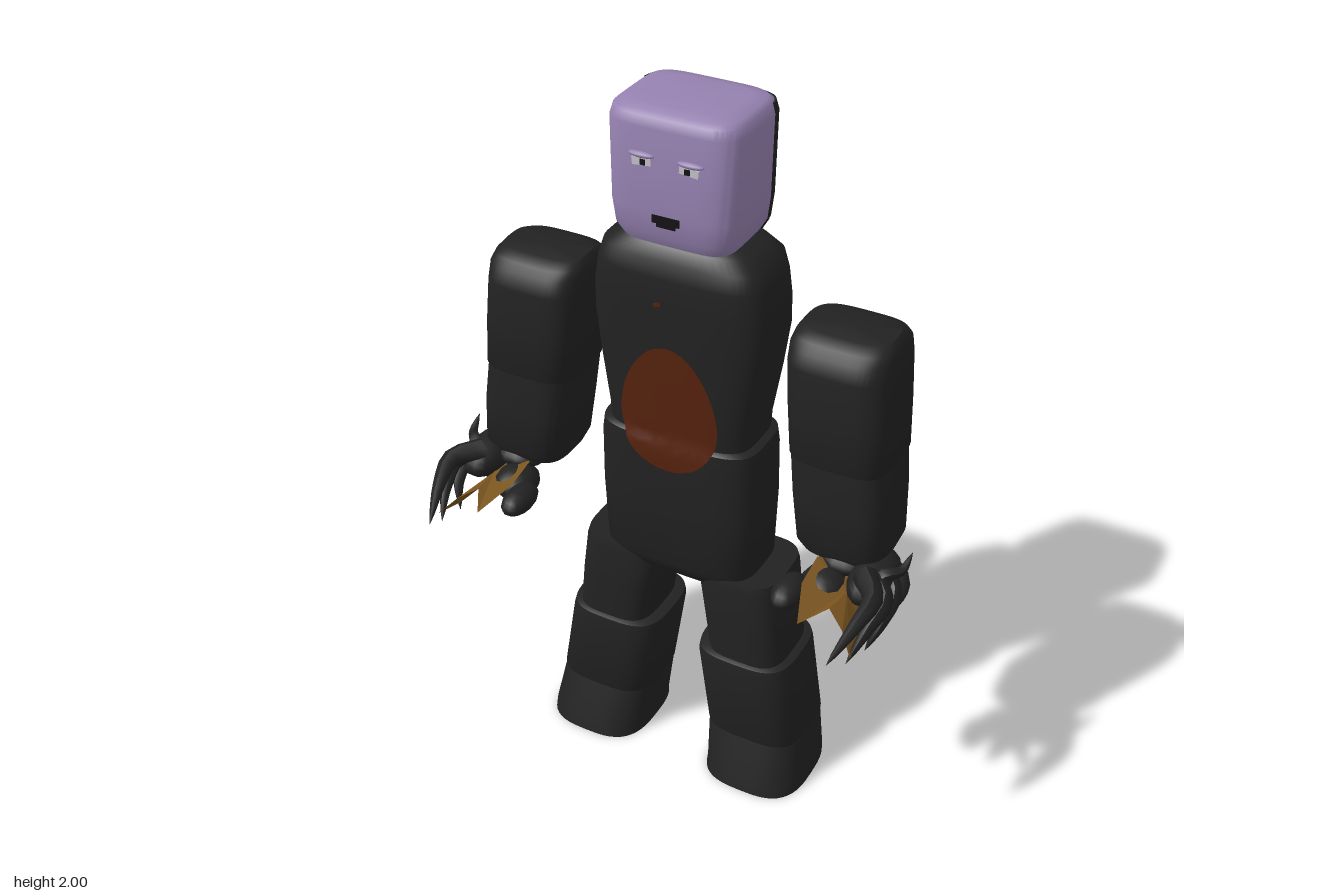
import * as THREE from 'three';
import { toCreasedNormals } from 'three/addons/utils/BufferGeometryUtils.js';

const mat = (name, color, side = THREE.FrontSide) => {
  const m = new THREE.MeshStandardMaterial({ color, side });
  m.name = name;
  return m;
};
const V = (x, y, z) => new THREE.Vector3(x, y, z);

// Loft of rounded-rectangle sections [y, x0, x1, zBack, zFront, squareness], bottom to top
function loft(sections, segs = 48, crease = 0.7) {
  const pos = [], idx = [];
  const pw = (c, n) => Math.sign(c) * Math.pow(Math.abs(c), 2 / n);
  for (const [y, x0, x1, z0, z1, n] of sections) {
    for (let i = 0; i < segs; i++) {
      const a = (i / segs) * Math.PI * 2;
      pos.push((x0 + x1) / 2 + ((x1 - x0) / 2) * pw(Math.cos(a), n), y,
        (z0 + z1) / 2 + ((z1 - z0) / 2) * pw(Math.sin(a), n));
    }
  }
  const rows = sections.length;
  for (let r = 0; r < rows - 1; r++) {
    for (let i = 0; i < segs; i++) {
      const a = r * segs + i, b = r * segs + ((i + 1) % segs);
      idx.push(a, a + segs, b, b, a + segs, b + segs);
    }
  }
  [sections[0], sections[rows - 1]].forEach(([y, x0, x1, z0, z1], k) => {
    const c = pos.length / 3, base = k ? (rows - 1) * segs : 0;
    pos.push((x0 + x1) / 2, y, (z0 + z1) / 2);
    for (let i = 0; i < segs; i++) {
      const a = base + i, b = base + ((i + 1) % segs);
      if (k) idx.push(c, b, a); else idx.push(c, a, b);
    }
  });
  const g = new THREE.BufferGeometry();
  g.setAttribute('position', new THREE.Float32BufferAttribute(pos, 3));
  g.setIndex(idx);
  return toCreasedNormals(g, crease);
}

// Front surface depth of a loft at (x, y)
function frontDepth(sections, x, y) {
  for (let i = 0; i < sections.length - 1; i++) {
    const a = sections[i], b = sections[i + 1];
    if (y < a[0] || y > b[0]) continue;
    const [, x0, x1, z0, z1, n] = a.map((v, k) => v + ((b[k] - v) * (y - a[0])) / (b[0] - a[0]));
    const u = Math.min(1, Math.abs((x - (x0 + x1) / 2) / ((x1 - x0) / 2)));
    return (z0 + z1) / 2 + ((z1 - z0) / 2) * Math.pow(1 - Math.pow(u, n), 1 / n);
  }
  return -1;
}

// Tapering curved tube ending in a point
function claw(points, radius) {
  const curve = new THREE.CatmullRomCurve3(points);
  const n = 10, sides = 7;
  const g = new THREE.TubeGeometry(curve, n, radius, sides, false);
  const p = g.attributes.position, v = V(0, 0, 0);
  for (let i = 0; i < p.count; i++) {
    const t = Math.floor(i / (sides + 1)) / n, c = curve.getPointAt(t);
    v.fromBufferAttribute(p, i).sub(c).multiplyScalar(Math.pow(1 - t, 0.7)).add(c);
    p.setXYZ(i, v.x, v.y, v.z);
  }
  g.computeVertexNormals();
  return g;
}

export function createModel() {
  const model = new THREE.Group();
  model.name = 'figure';
  const black = mat('charcoal', 0x222222);
  const skin = mat('lilac', 0x9682b1);
  const rust = mat('rust', 0x56220e, THREE.DoubleSide);
  const ochre = mat('ochre', 0x7a5520, THREE.DoubleSide);
  const white = mat('eyeWhite', 0xc4c0c8);
  const dark = mat('mouthDark', 0x141214);
  const add = (name, geo, m, parent = model) => {
    const mesh = new THREE.Mesh(geo, m);
    mesh.name = name;
    parent.add(mesh);
    return mesh;
  };
  const plate = (name, w, h, x, y, z, m, tilt = 0) => {
    const p = add(name, new THREE.BoxGeometry(w, h, 0.008), m);
    p.position.set(x, y, z);
    p.rotation.z = tilt;
  };

  // Torso and hips
  const chest = [
    [1.04, -0.2, 0.2, -0.235, 0.0, 4], [1.15, -0.205, 0.205, -0.24, 0.005, 4],
    [1.3, -0.228, 0.228, -0.25, 0.008, 4], [1.42, -0.243, 0.243, -0.255, 0.01, 4],
    [1.5, -0.242, 0.242, -0.252, 0.01, 4], [1.57, -0.232, 0.232, -0.25, 0.008, 4],
    [1.615, -0.218, 0.218, -0.245, 0.0, 4], [1.645, -0.18, 0.18, -0.23, -0.02, 3.6],
    [1.665, -0.13, 0.13, -0.2, -0.05, 3]];
  const hips = [
    [0.64, -0.13, 0.13, -0.21, -0.05, 4], [0.655, -0.195, 0.195, -0.235, -0.02, 4],
    [0.7, -0.224, 0.224, -0.25, 0.0, 4], [0.9, -0.23, 0.23, -0.252, 0.01, 4],
    [1.06, -0.227, 0.227, -0.25, 0.015, 4], [1.1, -0.222, 0.222, -0.245, 0.012, 4],
    [1.11, -0.2, 0.2, -0.235, 0.0, 4]];
  add('chest', loft(chest), black);
  add('hips', loft(hips), black);

  // Egg-shaped belly patch laid over the chest and hips
  const egg = new THREE.RingGeometry(0.0001, 1, 40, 8);
  const ep = egg.attributes.position;
  for (let i = 0; i < ep.count; i++) {
    const u = ep.getX(i), v = ep.getY(i);
    const x = u * 0.137 * (1 - 0.12 * v), y = 1.185 + v * (v > 0 ? 0.2 : 0.165);
    ep.setXYZ(i, x, y, Math.max(frontDepth(chest, x, y), frontDepth(hips, x, y)) + 0.006);
  }
  egg.computeVertexNormals();
  add('bellyPatch', egg, rust);
  plate('chestFleck', 0.02, 0.01, -0.03, 1.5, 0.008, rust, 0.4);

  // Cracks down the back
  plate('upperCrack', 0.014, 0.09, 0, 1.47, -0.253, rust);
  plate('upperCrackBranch', 0.05, 0.012, 0.025, 1.445, -0.253, rust, 0.15);
  plate('lowerCrack', 0.012, 0.1, 0, 1.16, -0.24, rust);
  plate('lowerCrackSpot', 0.028, 0.025, 0, 1.14, -0.24, rust, 0.7);

  // Head, with a dark shell wrapped round the back
  const head = [
    [1.65, -0.12, 0.12, -0.215, -0.03, 4], [1.66, -0.148, 0.148, -0.238, 0.0, 5],
    [1.69, -0.165, 0.165, -0.247, 0.014, 5], [1.75, -0.172, 0.172, -0.25, 0.02, 5],
    [1.96, -0.175, 0.175, -0.25, 0.02, 5], [1.985, -0.168, 0.168, -0.245, 0.014, 5],
    [1.995, -0.155, 0.155, -0.235, 0.002, 5], [2.0, -0.12, 0.12, -0.21, -0.03, 4]];
  add('head', loft(head), skin);
  const shell = loft(head.slice(0, 6).map(([y, a, b, c, d, n]) => [y, a - 0.003, b + 0.003, c - 0.005, d, n]), 96);
  const sp = shell.attributes.position;
  for (let i = 0; i < sp.count; i++) sp.setZ(i, Math.min(sp.getZ(i), -0.19));
  add('headBackShell', shell, black);

  // Face
  for (const s of [-1, 1]) {
    plate('eye', 0.05, 0.02, s * 0.062, 1.877, 0.02, white, -s * 0.1);
    plate('pupil', 0.014, 0.014, s * 0.058, 1.876, 0.022, dark);
    const lid = add('eyelid', new THREE.SphereGeometry(1, 16, 8), skin);
    lid.scale.set(0.036, 0.008, 0.012);
    lid.position.set(s * 0.064, 1.892, 0.018);
  }
  plate('mouth', 0.072, 0.02, 0, 1.737, 0.018, dark);
  plate('lowerLip', 0.05, 0.012, 0, 1.724, 0.018, dark);

  for (const s of [-1, 1]) {
    const side = s > 0 ? 'left' : 'right';
    // Sections are given for the +x side and mirrored
    const limb = (name, secs) => add(side + name,
      loft(secs.map(([y, a, b, c, d, n]) => [y, Math.min(s * a, s * b), Math.max(s * a, s * b), c, d, n])), black);

    // Legs
    limb('Thigh', [
      [0.38, 0.1, 0.325, -0.255, -0.01, 3.6], [0.55, 0.075, 0.31, -0.26, -0.008, 3.6],
      [0.67, 0.055, 0.296, -0.26, -0.01, 3.6], [0.692, 0.06, 0.29, -0.255, -0.015, 3.6]]);
    limb('Shin', [
      [0.14, 0.1, 0.38, -0.27, -0.005, 3.4], [0.16, 0.094, 0.386, -0.276, 0.003, 3.4],
      [0.4, 0.06, 0.347, -0.28, 0.005, 3.4], [0.42, 0.063, 0.342, -0.276, 0.002, 3.4],
      [0.427, 0.09, 0.325, -0.26, -0.015, 3.4]]);
    limb('Foot', [
      [0.0, 0.105, 0.407, -0.275, 0.052, 3], [0.025, 0.106, 0.406, -0.275, 0.045, 3],
      [0.155, 0.096, 0.385, -0.272, 0.0, 3.4]]);

    // Arms
    limb('UpperArm', [
      [1.155, 0.32, 0.57, -0.245, 0.005, 3.8], [1.17, 0.312, 0.58, -0.25, 0.012, 3.8],
      [1.3, 0.3, 0.573, -0.255, 0.01, 3.8], [1.42, 0.291, 0.563, -0.26, 0.005, 3.8],
      [1.465, 0.293, 0.558, -0.252, -0.005, 3.8], [1.485, 0.298, 0.552, -0.235, -0.025, 3.6],
      [1.5, 0.31, 0.54, -0.2, -0.06, 3.4]]);
    limb('Forearm', [
      [0.88, 0.4, 0.55, -0.18, -0.05, 3], [0.89, 0.36, 0.585, -0.215, 0.0, 3.4],
      [0.92, 0.347, 0.595, -0.232, 0.015, 3.8], [1.05, 0.33, 0.588, -0.242, 0.018, 3.8],
      [1.165, 0.316, 0.576, -0.246, 0.01, 3.8]]);

    // Clawed hand, cupped round a lined palm
    const hand = new THREE.Group();
    hand.name = side + 'Hand';
    model.add(hand);
    const pts = (list) => list.map(([x, y, z]) => V(s * x, y, z));
    const blob = (name, c, r) => {
      const b = add(name, new THREE.SphereGeometry(1, 14, 10), black, hand);
      b.position.set(s * c[0], c[1], c[2]);
      b.scale.set(...r);
    };
    blob('handBack', [0.575, 0.865, -0.02], [0.06, 0.055, 0.11]);
    blob('wrist', [0.49, 0.88, -0.06], [0.08, 0.04, 0.08]);
    blob('thumb', [0.4, 0.845, 0.11], [0.04, 0.035, 0.07]);
    blob('thumbBase', [0.46, 0.835, 0.03], [0.06, 0.045, 0.07]);
    const fingers = [
      [[0.57, 0.9, 0.03], [0.62, 0.9, 0.1], [0.61, 0.87, 0.18], [0.58, 0.805, 0.28]],
      [[0.57, 0.88, 0.0], [0.635, 0.87, 0.06], [0.625, 0.83, 0.13], [0.6, 0.755, 0.2]],
      [[0.58, 0.87, -0.05], [0.635, 0.85, 0.0], [0.635, 0.8, 0.06], [0.61, 0.725, 0.1]],
      [[0.58, 0.87, -0.08], [0.63, 0.84, -0.07], [0.63, 0.79, -0.05], [0.6, 0.74, -0.04]],
      [[0.58, 0.87, 0.02], [0.61, 0.9, 0.0], [0.64, 0.9, -0.03], [0.65, 0.93, -0.08]]];
    fingers.forEach((f, i) => add('claw' + (i + 1), claw(pts(f), i > 3 ? 0.025 : 0.034), black, hand));

    // Jagged palm lining
    const rim = pts([[0.53, 0.845, 0.04], [0.43, 0.895, 0.01], [0.43, 0.875, 0.1], [0.47, 0.84, 0.21],
      [0.52, 0.85, 0.13], [0.57, 0.82, 0.16], [0.61, 0.78, 0.2], [0.61, 0.75, 0.1],
      [0.59, 0.75, -0.08], [0.52, 0.85, -0.1]]);
    const fan = [];
    for (let i = 1; i < rim.length; i++) fan.push(rim[0], rim[i], rim[(i % (rim.length - 1)) + 1]);
    const lining = new THREE.BufferGeometry().setFromPoints(fan);
    lining.computeVertexNormals();
    add('palmLining', lining, ochre, hand);
  }
  return model;
}
